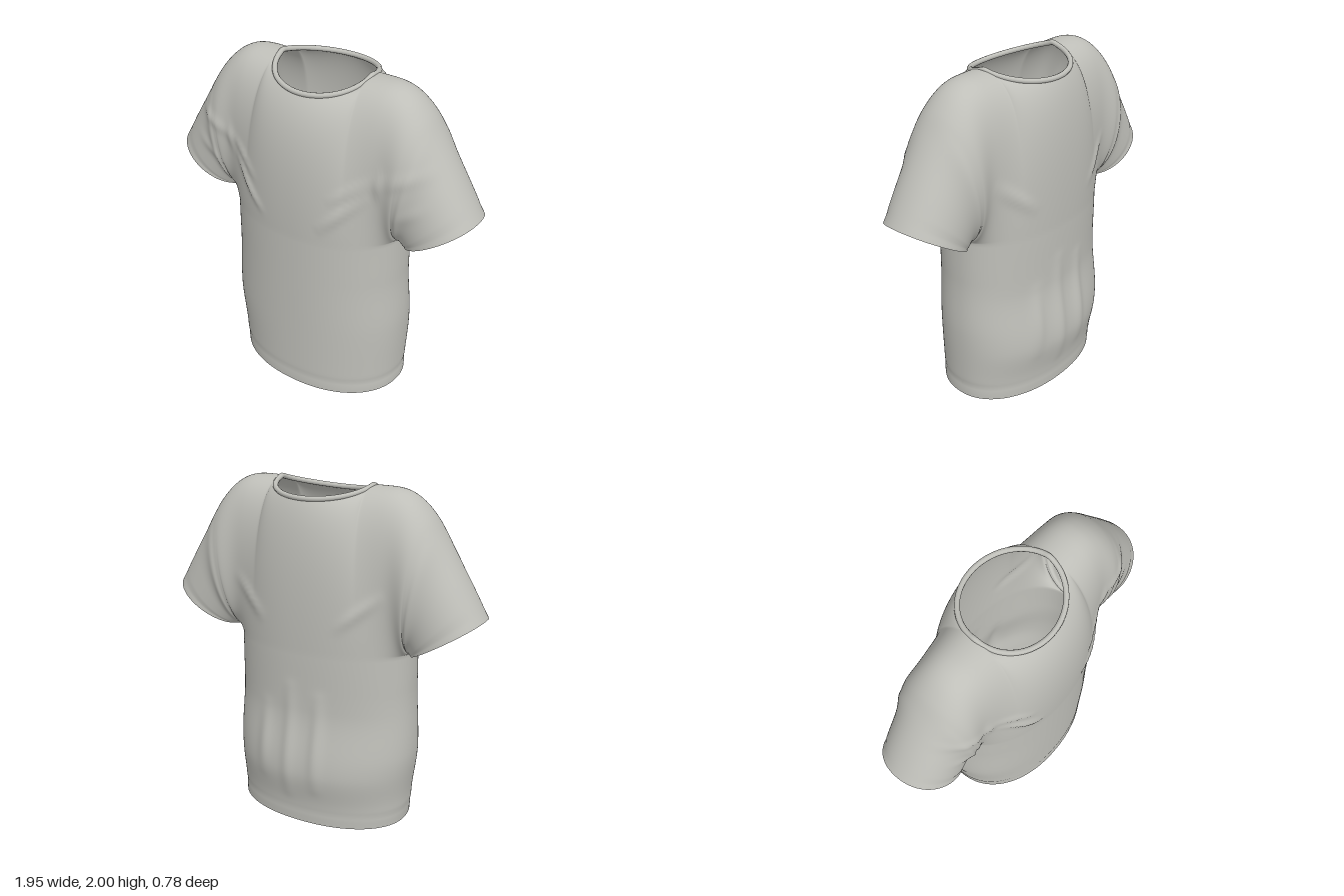
import * as THREE from 'three';
import { mergeGeometries, mergeVertices } from 'three/addons/utils/BufferGeometryUtils.js';

const ARM = 1.07;            // underarm height
const THETA_N = 0.95;        // torso angle below the side of the neck
const lerp = THREE.MathUtils.lerp;
const smooth = THREE.MathUtils.smoothstep;
const bump = (d, width) => Math.exp(-(d * d) / (width * width));
const V = (x, y, z) => new THREE.Vector3(x, y, z);

// Eased interpolation through [height, value] pairs
function profile(points, y) {
  for (let i = 1; i < points.length; i++) {
    const [y0, a] = points[i - 1], [y1, b] = points[i];
    if (y <= y1) return lerp(a, b, smooth(y, y0, y1));
  }
  return points[points.length - 1][1];
}

const SIDE_LEFT = [[0, 0.535], [0.45, 0.548], [0.8, 0.532], [1.07, 0.53]];
const SIDE_RIGHT = [[0, 0.535], [0.1, 0.545], [0.45, 0.58], [0.85, 0.562], [1.07, 0.56]];
const BACK = [[0, 0.34], [0.08, 0.345], [0.33, 0.38], [0.72, 0.335], [1.07, 0.34]];

// Top seam from the neck over the shoulder to the cuff
const shoulder = new THREE.SplineCurve([
  [0.29, 1.985], [0.45, 1.983], [0.55, 1.945], [0.64, 1.86],
  [0.72, 1.74], [0.85, 1.53], [0.975, 1.315],
].map(([x, y]) => new THREE.Vector2(x, y)));

// Soft folds: [x0, y0, x1, y1, height, width]
const FRONT_FOLDS = [
  [0.2, 1.18, 0.42, 1.4, 0.016, 0.025], [0.26, 1.37, 0.45, 1.5, 0.012, 0.025],
  [0.48, 1.42, 0.5, 1.56, 0.012, 0.03], [0.5, 1.5, 0.78, 1.62, 0.01, 0.03],
  [0.6, 1.3, 0.75, 1.42, 0.008, 0.03],
].flatMap(f => [f, [-f[0], f[1], -f[2], f[3], f[4], f[5]]]);
const BACK_FOLDS = [
  [-0.12, 0.25, -0.13, 0.8, 0.018, 0.04], [0.06, 0.2, 0.05, 0.85, 0.016, 0.04],
  [0.24, 0.3, 0.22, 0.7, 0.016, 0.045],
  [0.25, 1.25, 0.45, 1.42, 0.014, 0.03], [-0.25, 1.25, -0.45, 1.42, 0.014, 0.03],
];

function wrinkle(p, s) {
  const fade = smooth(Math.abs(p.z), 0, 0.16);
  for (const [x0, y0, x1, y1, h, w] of s > 0 ? FRONT_FOLDS : BACK_FOLDS) {
    const dx = x1 - x0, dy = y1 - y0;
    const t = THREE.MathUtils.clamp(((p.x - x0) * dx + (p.y - y0) * dy) / (dx * dx + dy * dy), 0, 1);
    const d = Math.hypot(p.x - x0 - t * dx, p.y - y0 - t * dy);
    p.z += s * fade * h * bump(d, w) * (0.3 + 0.7 * Math.sin(Math.PI * t));
  }
  return p;
}

// Body wall below the arms; s is +1 for the front and -1 for the back
function torso(theta, y, s) {
  const c = Math.cos(theta), groove = 1 - 0.008 * bump(y - 0.075, 0.02);
  const rx = profile(c > 0 ? SIDE_LEFT : SIDE_RIGHT, y) * groove;
  const rz = (s > 0 ? 0.382 : profile(BACK, y)) * groove;
  return V(Math.sign(c) * Math.abs(c) ** 0.93 * rx, y, s * rz * Math.abs(Math.sin(theta)) ** 0.93);
}

function neck(phi, s) {
  const n = Math.abs(Math.sin(phi));
  return V(0.29 * Math.cos(phi), 1.985 - (s > 0 ? 0.08 : 0.055) * n, s * (s > 0 ? 0.255 : 0.27) * n);
}

// One column from underarm level to the top seam; t runs along the sleeve
function column(theta, t, s, rows = 44) {
  const sg = Math.cos(theta) >= 0 ? 1 : -1;
  const q = Math.min(theta, Math.PI - theta) / THETA_N;
  const base = torso(theta, ARM, s);
  let top, n = 0;
  if (q < 1) {
    const p = shoulder.getPoint(t > 0 ? 0.5 + 0.5 * t : 0.5 * (1 - q));
    top = V(sg * p.x, p.y, 0);
  } else {
    const phi = (theta - THETA_N) / (Math.PI - 2 * THETA_N) * Math.PI;
    top = neck(phi, s);
    n = Math.abs(Math.sin(phi));
  }
  base.lerp(V(sg * 0.57, 1.065, 0), t);
  const w = smooth(q, 0, 1);
  const puff = 1 + 0.05 * bump(t - 0.3, 0.12) - 0.025 * bump(t - 0.9, 0.03);
  const arm = lerp(0.33, 0.297, smooth(t, 0, 0.6)) * puff;
  const z0 = lerp(arm, Math.abs(base.z) + 0.018, w);
  const z1 = lerp(lerp(arm, 0.28, w), s > 0 ? 0.375 : 0.345, n);
  const curve = new THREE.CubicBezierCurve3(
    base, V(base.x, base.y + 0.42 * w, s * z0), V(top.x, top.y - 0.14 * n, s * z1), top);
  return Array.from({ length: rows + 1 }, (_, j) => wrinkle(curve.getPoint(j / rows), s));
}

// Skin a list of equal-length point rows
function loft(rings, flip = false) {
  const m = rings[0].length, index = [];
  for (let i = 0; i < rings.length - 1; i++) {
    for (let j = 0; j < m - 1; j++) {
      const a = i * m + j, b = a + 1, d = a + m, c = d + 1;
      index.push(...(flip ? [a, c, b, a, d, c] : [a, b, c, a, c, d]));
    }
  }
  const g = new THREE.BufferGeometry().setFromPoints(rings.flat());
  g.setIndex(index);
  return g;
}

export function createModel() {
  const group = new THREE.Group();
  const cloth = new THREE.MeshStandardMaterial({ color: 0xbfbfb9, side: THREE.DoubleSide });
  cloth.name = 'grey cloth';
  const add = (name, geometry) => {
    geometry.computeVertexNormals();
    const mesh = new THREE.Mesh(geometry, cloth);
    mesh.name = name;
    group.add(mesh);
  };

  // Body and sleeves as one continuous skin, front and back
  const N = 112, SLEEVE = 26, ROWS = 54;
  const thetas = Array.from({ length: N + 1 }, (_, i) => Math.PI * i / N);
  const skins = [];
  for (const s of [1, -1]) {
    const upper = [];
    for (let i = SLEEVE; i > 0; i--) upper.push(column(0, i / SLEEVE, s));
    thetas.forEach(a => upper.push(column(a, 0, s)));
    for (let i = 1; i <= SLEEVE; i++) upper.push(column(Math.PI, i / SLEEVE, s));
    const lower = thetas.map(a => Array.from({ length: ROWS + 1 },
      (_, j) => wrinkle(torso(a, ARM * j / ROWS, s), s)));
    skins.push(loft(upper, s < 0), loft(lower, s < 0));
  }
  add('shirtBody', mergeVertices(mergeGeometries(skins), 1e-4));

  // Folded edges give the openings a cloth thickness
  const inset = (loop, k) => {
    const mid = loop.reduce((sum, p) => sum.add(p), V(0, 0, 0)).divideScalar(loop.length);
    return loop.map(p => p.clone().lerp(mid, k));
  };
  const edge = (name, outer, deep) => {
    add(name + 'Rim', loft([outer, inset(outer, 0.035)]));
    add(name + 'Lining', loft([inset(outer, 0.035), inset(deep, 0.035)]));
  };
  const hemLoop = y => [...thetas.map(a => torso(a, y, 1)),
    ...thetas.map(a => torso(Math.PI - a, y, -1))];
  edge('hem', hemLoop(0), hemLoop(0.07));
  for (const [name, a] of [['leftCuff', 0], ['rightCuff', Math.PI]]) {
    const loop = t => [...column(a, t, 1), ...column(a, t, -1).reverse()];
    edge(name, loop(1), loop(0.9));
  }

  // Ribbed collar around the neck opening
  const neckLoop = Array.from({ length: 48 }, (_, i) => {
    const phi = 2 * Math.PI * i / 48;
    return neck(phi, Math.sin(phi) >= 0 ? 1 : -1);
  });
  const collar = new THREE.TubeGeometry(new THREE.CatmullRomCurve3(neckLoop, true), 144, 0.015, 10, true);
  const mesh = new THREE.Mesh(collar, cloth);
  mesh.name = 'collar';
  group.add(mesh);
  return group;
}
